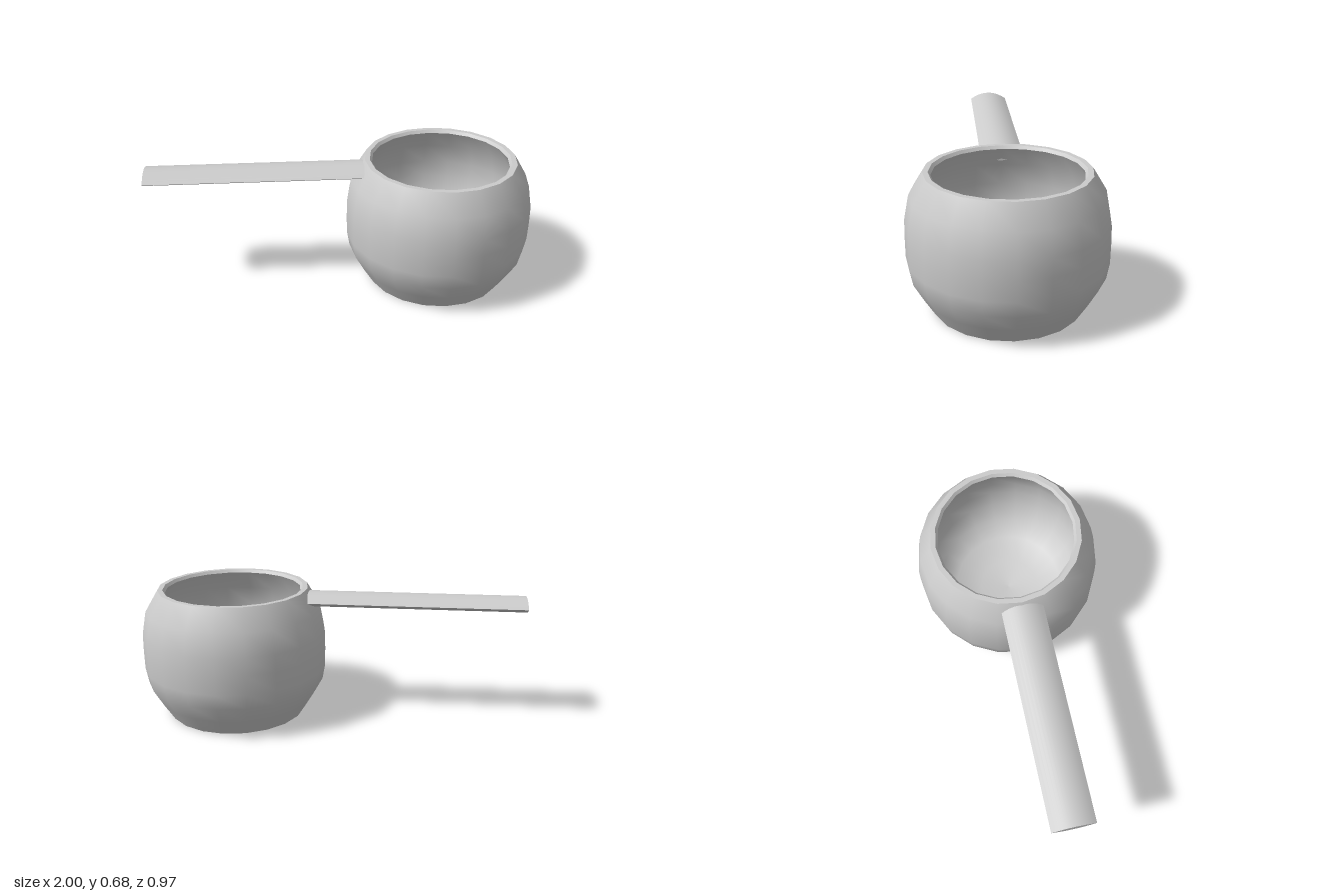
import * as THREE from 'three';
import { toCreasedNormals } from 'three/addons/utils/BufferGeometryUtils.js';

const BOWL_X = 0.515;
const SIDES = 20;

export function createModel() {
  const model = new THREE.Group();
  const material = new THREE.MeshStandardMaterial({ color: 0xcccccc });

  const add = (name, geometry, parent) => {
    const mesh = new THREE.Mesh(geometry, material);
    mesh.name = name;
    parent.add(mesh);
  };
  const lathe = (points) =>
    new THREE.LatheGeometry(points.map(([r, y]) => new THREE.Vector2(r, y)), SIDES);

  // Cup: separate smooth surfaces meeting at sharp rim and base edges
  const cup = new THREE.Group();
  cup.name = 'cup';
  cup.position.x = BOWL_X;
  model.add(cup);

  add('base', lathe([[0, 0], [0.365, 0]]), cup);
  add('outerWall', lathe([
    [0.365, 0], [0.42, 0.09], [0.47, 0.18], [0.484, 0.26], [0.485, 0.36],
    [0.483, 0.45], [0.46, 0.57], [0.393, 0.68],
  ]), cup);
  add('rim', lathe([[0.393, 0.68], [0.367, 0.68]]), cup);
  add('rimBevel', lathe([[0.367, 0.68], [0.355, 0.665]]), cup);
  add('innerWall', lathe([
    [0.355, 0.665], [0.42, 0.56], [0.445, 0.45], [0.447, 0.36], [0.432, 0.26],
    [0.385, 0.16], [0.3, 0.09], [0.16, 0.048], [0, 0.035],
  ]), cup);

  // Handle: long bar with a lens-shaped section, its inner end buried in the wall
  const section = new THREE.Shape();
  section.moveTo(-0.108, 0);
  section.quadraticCurveTo(0, -0.075, 0.108, 0);
  section.quadraticCurveTo(0, 0.075, -0.108, 0);
  const bar = new THREE.ExtrudeGeometry(section, {
    depth: 1.12, bevelEnabled: false, curveSegments: 12,
  });
  bar.rotateY(Math.PI / 2).translate(-1, 0.628, 0);
  add('handle', toCreasedNormals(bar, Math.PI / 5), model);

  return model;
}
